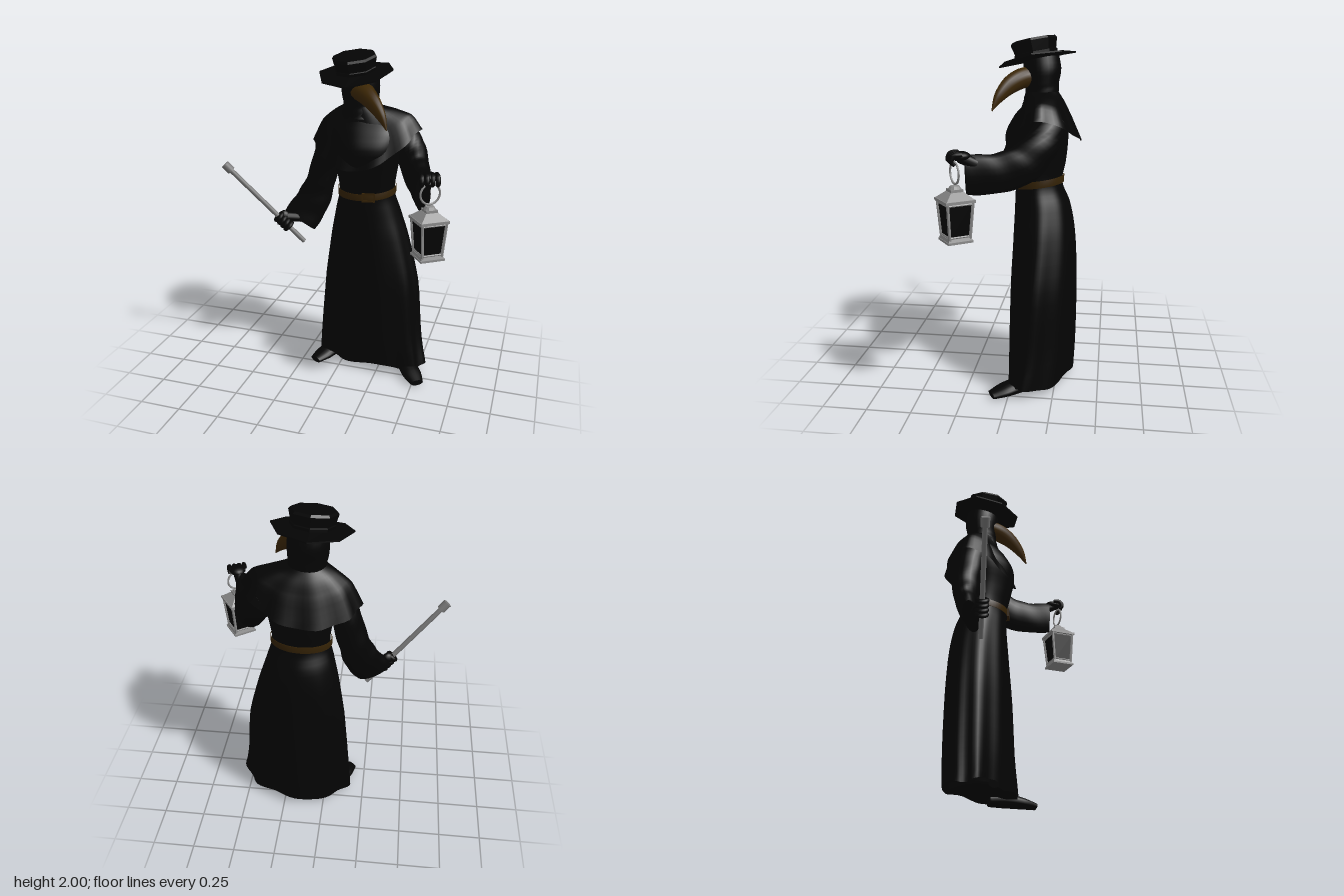
import * as THREE from 'three';

const V = (x, y, z) => new THREE.Vector3(x, y, z);
const mat = (color, flatShading = false, side = THREE.FrontSide) =>
  new THREE.MeshStandardMaterial({ color, flatShading, side });
const cloth = mat(0x040404, false, THREE.DoubleSide);
const hatCloth = mat(0x040404, true, THREE.DoubleSide);
const glove = mat(0x040404);
const glass = mat(0x040404, true);
const metal = mat(0x8c8c8c, true);
const ringMetal = mat(0x8c8c8c);
const staffMetal = mat(0x777777);
const leather = mat(0x342205);
const horn = mat(0x3c2705);

function add(parent, name, geometry, material, pos = [0, 0, 0]) {
  const m = new THREE.Mesh(geometry, material);
  m.name = name;
  m.position.set(...pos);
  parent.add(m);
  return m;
}

// Skin over closed rings of points, with optional end caps
function loft(rings, caps = true) {
  const n = rings[0].length, pts = rings.flat(), idx = [];
  for (let i = 0; i < rings.length - 1; i++)
    for (let j = 0; j < n; j++) {
      const a = i * n + j, b = i * n + (j + 1) % n;
      idx.push(a, a + n, b, b, a + n, b + n);
    }
  const cap = (ring, flip) => {
    const c = ring.reduce((s, p) => s.add(p), V(0, 0, 0)).divideScalar(n);
    const base = pts.length;
    pts.push(...ring, c);
    for (let j = 0; j < n; j++) {
      const a = base + j, b = base + (j + 1) % n;
      flip ? idx.push(a, b, base + n) : idx.push(b, a, base + n);
    }
  };
  if (caps) {
    cap(rings[0], true);
    cap(rings[rings.length - 1], false);
  }
  const g = new THREE.BufferGeometry().setFromPoints(pts);
  g.setIndex(idx);
  g.computeVertexNormals();
  return g;
}

// Elliptical tube through rows of [x, y, z, side radius, up radius]
function sweep(rows, hint = V(0, 1, 0), steps = 24, n = 18, fold = 0) {
  const path = new THREE.CatmullRomCurve3(rows.map(r => V(r[0], r[1], r[2])));
  const size = new THREE.CatmullRomCurve3(rows.map(r => V(r[3], r[4], 0)));
  const rings = [];
  for (let i = 0; i <= steps; i++) {
    const t = i / steps, c = path.getPoint(t), s = size.getPoint(t), T = path.getTangent(t);
    const up = hint.clone().addScaledVector(T, -hint.dot(T)).normalize();
    const side = T.clone().cross(up);
    rings.push(Array.from({ length: n }, (_, j) => {
      const a = j / n * Math.PI * 2, k = 1 + fold * Math.sin(t * 26 + 2 * a);
      return c.clone().addScaledVector(side, Math.cos(a) * s.x * k).addScaledVector(up, Math.sin(a) * s.y * k);
    }));
  }
  return loft(rings);
}

// Horizontal ellipses from rows of [y, cx, cz, rx, rz], smoothed, shaped by rule(p, angle, t)
function stack(rows, n, steps, rule, caps = true) {
  const c = new THREE.CatmullRomCurve3(rows.map(r => V(r[1], r[0], r[2])));
  const s = new THREE.CatmullRomCurve3(rows.map(r => V(r[3], 0, r[4])));
  const rings = [];
  for (let i = 0; i <= steps; i++) {
    const t = i / steps, o = c.getPoint(t), r = s.getPoint(t);
    rings.push(Array.from({ length: n }, (_, j) => {
      const a = j / n * Math.PI * 2, p = V(Math.cos(a) * r.x, 0, Math.sin(a) * r.z);
      rule(p, a, t);
      return p.add(o);
    }));
  }
  return loft(rings, caps);
}

function bar(parent, name, a, b, r, material, sides = 12) {
  const d = b.clone().sub(a);
  const m = add(parent, name, new THREE.CylinderGeometry(r, r, d.length(), sides), material);
  m.position.copy(a).addScaledVector(d, 0.5);
  m.quaternion.setFromUnitVectors(V(0, 1, 0), d.normalize());
}

function ball(parent, name, pos, size, rotY) {
  const m = add(parent, name, new THREE.SphereGeometry(1, 16, 12), glove, pos);
  m.scale.set(...size);
  m.rotation.y = rotY;
}

function addClothes(g) {
  // Robe with soft folds that fade out at the waist; its sides sweep forward near the hem
  add(g, 'robe', stack([
    [0.05, 0.187, -0.167, 0.352, 0.178], [0.25, 0.174, -0.168, 0.328, 0.186], [0.6, 0.17, -0.17, 0.298, 0.186],
    [0.9, 0.153, -0.166, 0.24, 0.174], [1.06, 0.143, -0.152, 0.198, 0.157], [1.18, 0.14, -0.128, 0.168, 0.135],
    [1.3, 0.138, -0.122, 0.182, 0.16], [1.45, 0.13, -0.115, 0.22, 0.178], [1.56, 0.13, -0.135, 0.23, 0.145],
    [1.63, 0.12, -0.15, 0.15, 0.1], [1.69, 0.09, -0.14, 0.09, 0.08]], 72, 44, (p, a, t) => {
    const low = Math.max(0, 1 - t / 0.5);
    p.multiplyScalar(1 + 0.035 * low * Math.cos(9 * a + 1) + 0.01 * Math.cos(7 * a));
    p.z += low * (0.1 * p.x + 0.4 * p.x * p.x);
    if (t < 0.03) p.y += 0.012 * Math.cos(5 * a);
  }), cloth);

  // Shoulder cape, longest at the front, flared at the back
  add(g, 'shoulderCape', stack([
    [1.46, 0.125, -0.152, 0.325, 0.217], [1.58, 0.125, -0.15, 0.265, 0.16],
    [1.645, 0.115, -0.15, 0.18, 0.12], [1.69, 0.1, -0.14, 0.1, 0.09]], 60, 12, (p, a, t) => {
    const low = 1 - t, front = Math.max(0, Math.sin(a)), back = Math.max(0, -Math.sin(a));
    p.multiplyScalar(1 + 0.03 * low * Math.cos(10 * a));
    p.y += low * (0.15 * p.x + 0.05 - 0.175 * front ** 2 - 0.095 * back ** 2);
  }, false), cloth);

  // Belt rising toward the back and the left
  const beltRows = [[1.163, 0.174, 0.142], [1.163, 0.178, 0.147], [1.203, 0.178, 0.147], [1.203, 0.174, 0.142]];
  add(g, 'belt', loft(beltRows.map(([y, rx, rz]) => Array.from({ length: 48 }, (_, j) => {
    const a = j / 48 * Math.PI * 2, s = Math.sin(a);
    return V(0.14 + rx * Math.cos(a), y - 0.019 * s + 0.008 * Math.cos(a), -0.128 + rz * s);
  })), false), leather);
  const buckle = new THREE.Group();
  buckle.name = 'buckle';
  buckle.position.set(0.185, 1.167, 0.015);
  buckle.rotation.y = 0.2;
  for (const s of [-1, 1]) {
    add(buckle, 'buckleSide', new THREE.BoxGeometry(0.009, 0.05, 0.012), leather, [s * 0.035, 0, 0]);
    add(buckle, 'buckleRail', new THREE.BoxGeometry(0.075, 0.009, 0.012), leather, [0, s * 0.022, 0]);
  }
  g.add(buckle);

  // Wide hanging sleeves
  add(g, 'rightSleeve', sweep([
    [-0.05, 1.54, -0.15, 0.1, 0.09], [-0.118, 1.37, -0.16, 0.088, 0.085], [-0.165, 1.2, -0.16, 0.08, 0.09],
    [-0.212, 1.07, -0.135, 0.065, 0.106], [-0.282, 0.948, -0.085, 0.045, 0.112]], V(-0.75, 0.65, 0), 26, 20, 0.025), cloth);
  add(g, 'leftSleeve', sweep([
    [0.3, 1.53, -0.2, 0.1, 0.1], [0.385, 1.435, -0.17, 0.09, 0.1], [0.443, 1.335, -0.08, 0.08, 0.11],
    [0.496, 1.29, 0.05, 0.06, 0.108], [0.544, 1.285, 0.215, 0.042, 0.108]], V(0, 1, 0), 26, 20, 0.02), cloth);
}

function addHead(g) {
  // Hooded head and gathered cowl
  add(g, 'hood', stack([
    [1.62, 0.1, -0.14, 0.12, 0.11], [1.68, 0.095, -0.14, 0.103, 0.095], [1.74, 0.09, -0.14, 0.11, 0.095],
    [1.81, 0.088, -0.14, 0.114, 0.106], [1.9, 0.085, -0.13, 0.1, 0.1]], 28, 14, (p, a, t) => {
    p.multiplyScalar(1 + 0.03 * Math.sin(t * 30 + 2 * a) * Math.max(0, 1 - 1.6 * t));
  }), cloth);

  // Long curved beak
  add(g, 'beak', sweep([
    [0.1, 1.772, -0.1, 0.072, 0.055], [0.15, 1.763, -0.035, 0.058, 0.057], [0.212, 1.726, 0.03, 0.041, 0.05],
    [0.27, 1.666, 0.08, 0.024, 0.032], [0.31, 1.596, 0.112, 0.003, 0.003]], V(0, 1, 0), 24, 16), horn);

  // Tilted wide-brimmed hat
  const hat = new THREE.Group();
  hat.name = 'hat';
  hat.position.set(0.07, 1.872, -0.105);
  hat.rotation.set(0.2, 0, 0.07);
  const ring = (r, y, wave = 0) => Array.from({ length: 8 }, (_, j) => {
    const a = j / 8 * Math.PI * 2;
    return V(r * Math.cos(a), y + wave * Math.cos(2 * a), r * Math.sin(a));
  });
  add(hat, 'brim', loft([ring(0.11, -0.012), ring(0.222, -0.004, 0.012), ring(0.222, 0.004, 0.012), ring(0.11, 0.016)]), hatCloth);
  add(hat, 'crown', loft([ring(0.122, 0), ring(0.124, 0.03), ring(0.118, 0.034), ring(0.133, 0.09), ring(0.124, 0.103)]), hatCloth);
  g.add(hat);
}

function addFeet(g) {
  // Shoes given by heel and toe positions in x, z
  const shoe = (name, [hx, hz], [tx, tz]) => {
    const at = (t, y, w, h) => [hx + (tx - hx) * t, y, hz + (tz - hz) * t, w, h];
    add(g, name, sweep([at(0, 0.04, 0.04, 0.038), at(0.3, 0.046, 0.052, 0.046),
      at(0.7, 0.034, 0.06, 0.034), at(1, 0.02, 0.04, 0.02)]), glove);
  };
  shoe('rightShoe', [-0.02, -0.25], [-0.155, 0.015]);
  shoe('leftShoe', [0.37, -0.16], [0.535, 0.09]);
}

function addStaff(g) {
  const end = V(-0.24, 0.825, -0.04), tip = V(-0.685, 1.325, 0.11);
  const at = t => end.clone().lerp(tip, t), axis = tip.clone().sub(end).normalize();
  bar(g, 'staff', end, tip, 0.015, staffMetal, 14);
  bar(g, 'staffKnob', at(0.92), at(1), 0.026, staffMetal, 14);
  // Right hand closed around the staff
  bar(g, 'rightWrist', V(-0.27, 0.965, -0.08), V(-0.35, 0.985, -0.015), 0.028, glove);
  ball(g, 'rightPalm', [-0.36, 0.98, -0.012], [0.04, 0.045, 0.028], 0.4);
  for (let i = 0; i < 4; i++) {
    const f = add(g, 'rightFinger', new THREE.TorusGeometry(0.027, 0.014, 8, 16), glove);
    f.position.copy(at(0.205 + i * 0.04));
    f.quaternion.setFromUnitVectors(V(0, 0, 1), axis);
  }
}

function addLantern(g) {
  // Left hand curled over the carrying ring
  bar(g, 'leftWrist', V(0.54, 1.345, 0.16), V(0.575, 1.385, 0.235), 0.03, glove);
  ball(g, 'leftPalm', [0.577, 1.392, 0.235], [0.046, 0.026, 0.055], 0.45);
  for (let i = 0; i < 4; i++) {
    const x = 0.548 + i * 0.027, z = 0.292 - i * 0.012;
    add(g, 'leftFinger', sweep([[x - 0.015, 1.405, z - 0.04, 0.013, 0.013], [x, 1.4, z, 0.014, 0.014],
      [x + 0.005, 1.37, z + 0.012, 0.013, 0.013], [x, 1.35, z - 0.004, 0.009, 0.009]], V(1, 0, 0), 10, 10), glove);
  }

  const L = new THREE.Group();
  L.name = 'lantern';
  L.position.set(0.592, 0.94, 0.262);
  L.rotation.y = 0.62;
  const frustum = (name, top, bottom, y0, y1, material = metal) => {
    const geo = new THREE.CylinderGeometry(top * Math.SQRT2, bottom * Math.SQRT2, y1 - y0, 4).rotateY(Math.PI / 4);
    add(L, name, geo, material, [0, (y0 + y1) / 2, 0]);
  };
  frustum('lanternBase', 0.071, 0.071, 0, 0.012);
  frustum('lanternFoot', 0.062, 0.068, 0.012, 0.028);
  frustum('lanternGlass', 0.07, 0.056, 0.028, 0.215, glass);
  frustum('lanternRim', 0.083, 0.083, 0.215, 0.23);
  frustum('lanternRoof', 0.036, 0.079, 0.23, 0.268);
  frustum('lanternVent', 0.034, 0.034, 0.268, 0.282);
  add(L, 'lanternCap', new THREE.CylinderGeometry(0.025, 0.035, 0.016, 12), metal, [0, 0.29, 0]);
  // Corner posts and the rails around each pane
  for (let k = 0; k < 4; k++) {
    const side = new THREE.Group();
    side.name = 'lanternSide';
    side.rotation.y = k * Math.PI / 2;
    bar(side, 'post', V(0.057, 0.02, 0.057), V(0.071, 0.22, 0.071), 0.009, metal, 6);
    bar(side, 'lowerRail', V(-0.057, 0.034, 0.057), V(0.057, 0.034, 0.057), 0.006, metal, 6);
    bar(side, 'upperRail', V(-0.07, 0.208, 0.07), V(0.07, 0.208, 0.07), 0.006, metal, 6);
    L.add(side);
  }
  add(L, 'carryRing', new THREE.TorusGeometry(0.057, 0.006, 8, 32), ringMetal, [0, 0.365, 0]);
  g.add(L);
}

export function createModel() {
  const g = new THREE.Group();
  g.name = 'cloakedFigure';
  [addClothes, addHead, addFeet, addStaff, addLantern].forEach(build => build(g));
  return g;
}
